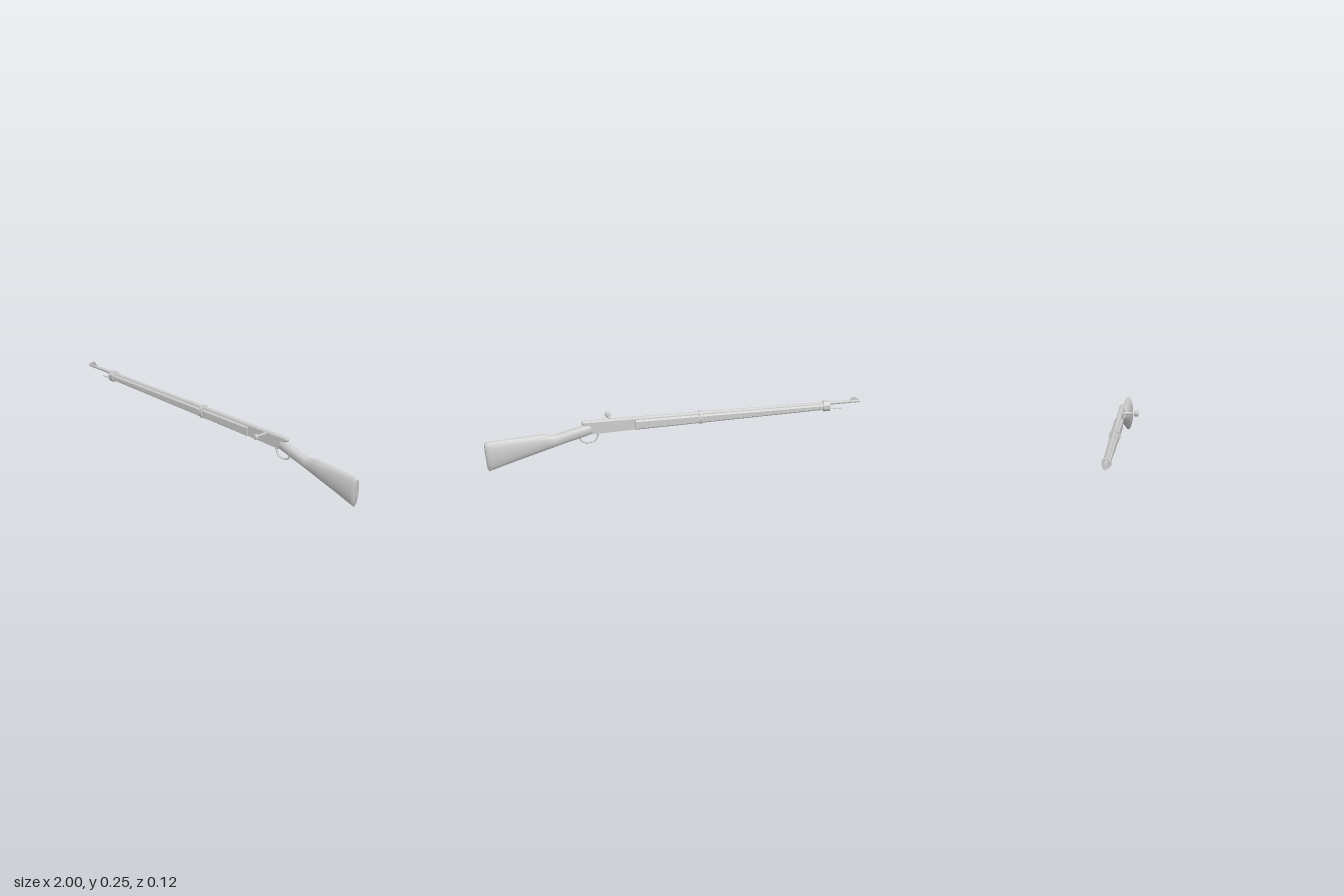
import * as THREE from 'three';
import { toCreasedNormals } from 'three/addons/utils/BufferGeometryUtils.js';

const material = new THREE.MeshStandardMaterial({ color: 0xcccccc });

// Skin a list of rings (each [x, y, z] points, turning from +y towards +z) and cap both ends
function loft(rings, crease = 0.6) {
  const n = rings[0].length, pos = rings.flat(2), index = [];
  for (let i = 0; i < rings.length - 1; i++) {
    for (let j = 0; j < n; j++) {
      const a = i * n + j, b = i * n + (j + 1) % n;
      index.push(a, b, a + n, b, b + n, a + n);
    }
  }
  [0, rings.length - 1].forEach((r) => {
    const c = pos.length / 3;
    for (let k = 0; k < 3; k++) pos.push(rings[r].reduce((s, p) => s + p[k], 0) / n);
    for (let j = 0; j < n; j++) {
      const a = r * n + j, b = r * n + (j + 1) % n;
      if (r === 0) index.push(c, b, a); else index.push(c, a, b);
    }
  });
  const geometry = new THREE.BufferGeometry();
  geometry.setAttribute('position', new THREE.Float32BufferAttribute(pos, 3));
  geometry.setIndex(index);
  return toCreasedNormals(geometry, crease);
}

// Ellipse whose top and bottom points may lean in x
function ovalRing([topX, topY, botX, botY, halfW], n = 28) {
  return Array.from({ length: n }, (_, j) => {
    const a = (j / n) * Math.PI * 2, t = (1 + Math.cos(a)) / 2;
    return [botX + (topX - botX) * t, botY + (topY - botY) * t, halfW * Math.sin(a)];
  });
}

// Flat-sided section with bevelled top and bottom edges
function bevelRing(x, top, bottom, halfW, topHalf, bottomHalf, bevel) {
  const right = [[top, topHalf], [top - bevel, halfW], [bottom + bevel, halfW], [bottom, bottomHalf]];
  const left = right.slice().reverse().map(([y, z]) => [y, -z]);
  return [...right, ...left].map(([y, z]) => [x, y, z]);
}

export function createModel() {
  const model = new THREE.Group();
  model.name = 'boltActionRifle';
  const add = (name, geometry, x = 0, y = 0, z = 0) => {
    const mesh = new THREE.Mesh(geometry, material);
    mesh.name = name;
    mesh.position.set(x, y, z);
    model.add(mesh);
    return mesh;
  };
  // Round rod along x, with radius r0 at x0 and r1 at x1
  const rod = (name, x0, x1, r0, r1, y) => {
    const geometry = new THREE.CylinderGeometry(r1, r0, x1 - x0, 20).rotateZ(-Math.PI / 2);
    return add(name, geometry, (x0 + x1) / 2, y);
  };

  // Butt stock: slanted wrist, comb step and deep butt with softened end
  const stock = [
    [0.44, 0.226, 0.42, 0.172, 0.019],
    [0.455, 0.225, 0.43, 0.168, 0.022],
    [0.52, 0.207, 0.5, 0.147, 0.023],
    [0.59, 0.188, 0.575, 0.126, 0.023],
    [0.63, 0.177, 0.615, 0.114, 0.0235],
    [0.655, 0.182, 0.64, 0.106, 0.024],
    [0.68, 0.189, 0.66, 0.1, 0.0245],
    [0.75, 0.185, 0.73, 0.078, 0.0255],
    [0.86, 0.178, 0.84, 0.044, 0.026],
    [0.98, 0.171, 0.957, 0.006, 0.0255],
    [0.993, 0.169, 0.97, 0.001, 0.0235],
    [1.0, 0.162, 0.978, 0.012, 0.018],
  ];
  add('buttStock', loft(stock.map((s) => ovalRing(s)), 0.8));

  // Fore-end, deepening towards the receiver
  add('foreEnd', loft([
    bevelRing(-0.82, 0.232, 0.202, 0.02, 0.012, 0.013, 0.007),
    bevelRing(0.195, 0.232, 0.177, 0.023, 0.014, 0.014, 0.008),
  ], 0.3));

  // Barrel, cleaning rod and bolt body
  rod('muzzle', -1, -0.82, 0.008, 0.009, 0.232);
  rod('barrel', -0.82, -0.28, 0.009, 0.0105, 0.232);
  rod('breech', -0.28, 0.2, 0.0115, 0.0125, 0.233);
  rod('cleaningRod', -0.9, -0.8, 0.003, 0.003, 0.199);
  rod('boltBody', 0.19, 0.47, 0.0125, 0.0125, 0.233);
  const cap = new THREE.SphereGeometry(0.0125, 20, 12);
  add('boltCap', cap, 0.47, 0.233).scale.x = 0.9;

  // Front sight: ramp and blade
  add('sightBase', new THREE.BoxGeometry(0.045, 0.008, 0.009), -0.967, 0.241);
  add('sightBlade', new THREE.BoxGeometry(0.024, 0.012, 0.005), -0.969, 0.248);

  // Barrel bands
  add('frontBand', loft([
    bevelRing(-0.838, 0.246, 0.192, 0.024, 0.01, 0.012, 0.016),
    bevelRing(-0.803, 0.246, 0.192, 0.026, 0.01, 0.012, 0.016),
  ], 0.3));
  add('middleBand', loft([-0.158, -0.142].map((x) => ovalRing([x, 0.249, x, 0.177, 0.03])), 0.6));

  // Receiver plate
  const profile = new THREE.Shape([
    [0.18, 0.179], [0.42, 0.17], [0.445, 0.18], [0.465, 0.222], [0.472, 0.236], [0.18, 0.236],
  ].map(([x, y]) => new THREE.Vector2(x, y)));
  const plate = new THREE.ExtrudeGeometry(profile, { depth: 0.026, bevelEnabled: false });
  add('receiver', plate.translate(0, 0, -0.013));

  // Trigger guard
  const guardPath = new THREE.CatmullRomCurve3([
    [0.393, 0.178], [0.395, 0.148], [0.412, 0.126], [0.44, 0.12],
    [0.468, 0.124], [0.485, 0.138], [0.488, 0.158],
  ].map(([x, y]) => new THREE.Vector3(x, y, 0)));
  add('triggerGuard', new THREE.TubeGeometry(guardPath, 36, 0.0045, 10));

  // Bolt handle with knob
  const arm = new THREE.CylinderGeometry(0.006, 0.007, 0.075, 16).rotateX(Math.PI / 2);
  add('boltHandle', arm, 0.325, 0.231, 0.0375);
  const knob = new THREE.LatheGeometry(
    [[0, 0], [0.0125, 0], [0.0145, 0.003], [0.0155, 0.019], [0.013, 0.022], [0, 0.022]]
      .map(([r, h]) => new THREE.Vector2(r, h)), 20).rotateX(Math.PI / 2);
  add('boltKnob', toCreasedNormals(knob, 0.6), 0.325, 0.231, 0.072);

  // The handle sticks out to one side, so the barrel line sits off centre
  model.position.z = -0.03;
  return model;
}
